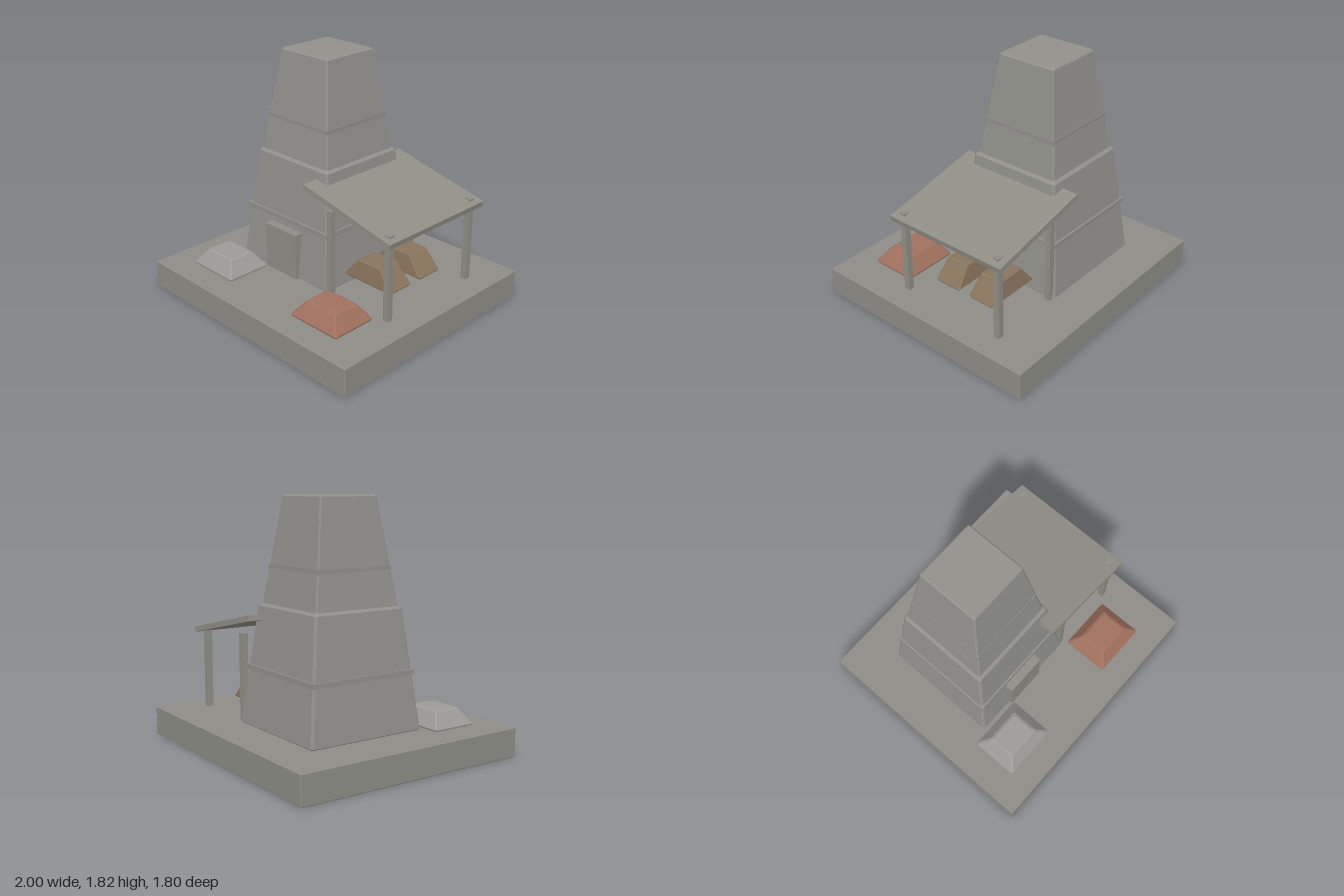
import * as THREE from 'three';

const paint = (name, color) => {
  const m = new THREE.MeshStandardMaterial({ color });
  m.name = name;
  return m;
};

// Tapered block with chamfered edges: bottom half sizes, top half sizes, y range
function taperedBlock([x0, z0], [x1, z1], y0, y1, bevel) {
  const rings = [];
  const addRing = (y, inset) => {
    const t = (y - y0) / (y1 - y0);
    const a = x0 + (x1 - x0) * t - inset;
    const b = z0 + (z1 - z0) * t - inset;
    const c = bevel;
    rings.push([
      [a, b - c], [a - c, b], [-a + c, b], [-a, b - c],
      [-a, -b + c], [-a + c, -b], [a - c, -b], [a, -b + c],
    ].map(([x, z]) => [x, y, z]));
  };
  addRing(y0, bevel);
  addRing(y0 + bevel, 0);
  addRing(y1 - bevel, 0);
  addRing(y1, bevel);

  const pos = [];
  const tri = (p, q, r) => pos.push(...p, ...q, ...r);
  for (let k = 0; k < 3; k++) {
    for (let i = 0; i < 8; i++) {
      const j = (i + 1) % 8;
      const [a, b, c, d] = [rings[k][i], rings[k][j], rings[k + 1][j], rings[k + 1][i]];
      tri(a, c, b);
      tri(a, d, c);
    }
  }
  for (let i = 1; i < 7; i++) {
    tri(rings[0][0], rings[0][i], rings[0][i + 1]);
    tri(rings[3][0], rings[3][i + 1], rings[3][i]);
  }
  const g = new THREE.BufferGeometry();
  g.setAttribute('position', new THREE.Float32BufferAttribute(pos, 3));
  g.computeVertexNormals();
  return g;
}

export function createModel() {
  const model = new THREE.Group();
  model.name = 'kiln';
  const ground = paint('ground stone', 0x8d8c85);
  const stone = paint('tower stone', 0x91908b);
  const timber = paint('weathered timber', 0x8f8e85);
  const ash = paint('pale grey heap', 0x9b9a96);
  const ore = paint('red ore', 0xa0705e);
  const earth = paint('brown earth', 0x88745d);

  const add = (name, geometry, material, x, y, z, parent = model) => {
    const mesh = new THREE.Mesh(geometry, material);
    mesh.name = name;
    mesh.position.set(x, y, z);
    parent.add(mesh);
    return mesh;
  };
  const box = (w, h, d) => new THREE.BoxGeometry(w, h, d);

  // Ground slab
  add('base', taperedBlock([1, 0.9], [1, 0.9], 0, 0.21, 0.005), ground, 0, 0, 0);

  // Stepped tower with its bands and door
  const tower = new THREE.Group();
  tower.name = 'tower';
  tower.position.set(-0.205, 0, -0.135);
  model.add(tower);
  add('lowerTower', taperedBlock([0.457, 0.457], [0.357, 0.357], 0.2, 1.07, 0.016), stone, 0, 0, 0, tower);
  add('upperTower', taperedBlock([0.34, 0.34], [0.23, 0.23], 1.04, 1.82, 0.01), stone, 0, 0, 0, tower);
  add('lowerBand', box(0.84, 0.035, 0.84), stone, 0, 0.617, 0, tower);
  add('upperBand', box(0.602, 0.035, 0.602), stone, 0, 1.328, 0, tower);
  add('door', box(0.32, 0.35, 0.1), timber, -0.205, 0.385, 0.295);

  // Lean-to shelter
  const shelter = new THREE.Group();
  shelter.name = 'shelter';
  model.add(shelter);
  const roof = add('roof', box(0.822, 0.04, 0.985), timber, 0.462, 0.89, -0.132, shelter);
  roof.rotation.z = -0.2215;
  for (const x of [0.26, 0.798]) {
    for (const z of [0.288, -0.55]) {
      add('post', box(0.045, 0.635, 0.045), timber, x, 0.5275, z, shelter);
    }
  }

  // Material heaps in front
  const heap = taperedBlock([0.225, 0.185], [0.13, 0.1], 0.21, 0.335, 0.012);
  add('greyHeap', heap, ash, -0.565, 0, 0.53);
  add('redHeap', heap, ore, 0.51, 0, 0.53);

  // Heaps under the roof
  const storedHeap = taperedBlock([0.225, 0.11], [0.105, 0.09], 0.287, 0.44, 0.008);
  for (const z of [0.024, -0.286]) add('brownHeap', storedHeap, earth, 0.46, 0, z);

  return model;
}
